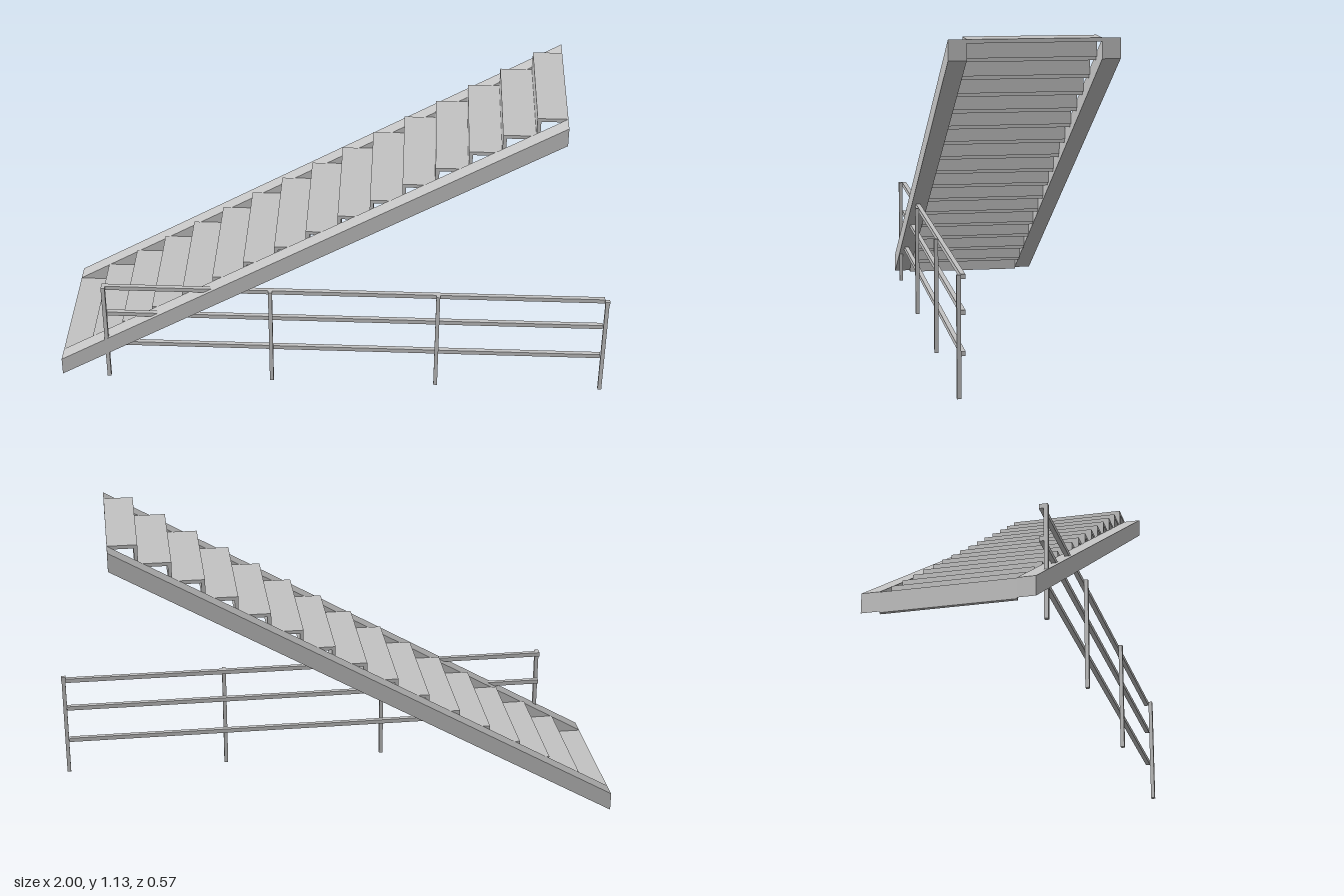
import * as THREE from 'three';

export function createModel() {
  const model = new THREE.Group();
  model.name = 'staircaseWithRailing';
  const steel = new THREE.MeshStandardMaterial({ color: 0xc2c2c2 });
  steel.name = 'light grey steel';

  // Box given by its minimum and maximum corners
  function box(name, parent, x0, x1, y0, y1, z0, z1) {
    const mesh = new THREE.Mesh(new THREE.BoxGeometry(x1 - x0, y1 - y0, z1 - z0), steel);
    mesh.position.set((x0 + x1) / 2, (y0 + y1) / 2, (z0 + z1) / 2);
    mesh.name = name;
    parent.add(mesh);
  }

  const inner = 0.222, outer = 0.283, topX = 0.805;

  // Sloping side beams with upright ends
  const profile = new THREE.Shape([
    new THREE.Vector2(-1, 0.004),
    new THREE.Vector2(topX, 1.066),
    new THREE.Vector2(topX, 1.135),
    new THREE.Vector2(-1, 0.072),
  ]);
  for (const [name, z] of [['leftStringer', inner], ['rightStringer', -outer]]) {
    const geometry = new THREE.ExtrudeGeometry(profile, { depth: outer - inner, bevelEnabled: false });
    const stringer = new THREE.Mesh(geometry, steel);
    stringer.position.z = z;
    stringer.name = name;
    model.add(stringer);
  }

  // Thin treads and risers, open underneath
  const steps = new THREE.Group();
  steps.name = 'steps';
  model.add(steps);
  const count = 16, rise = 1.135 / count, run = 0.1134, thick = 0.013;
  for (let i = 0; i < count; i++) {
    const x = -1 + i * run, top = (i + 1) * rise;
    box('tread', steps, x, Math.min(x + run, topX), top - thick, top, -inner, inner);
    box('riser', steps, x, x + thick, i * rise, top - thick, -inner, inner);
  }

  // Level railing: posts outside, rails fixed to their inner side
  const railing = new THREE.Group();
  railing.name = 'railing';
  model.add(railing);
  for (let i = 0; i < 4; i++) {
    const x = -0.826 + i * 0.6057;
    box('post', railing, x - 0.007, x + 0.007, 0, 0.405, 0.268, 0.282);
  }
  for (const y of [0.145, 0.28, 0.397]) {
    box('rail', railing, -0.833, 0.983, y - 0.008, y + 0.008, 0.252, 0.268);
  }
  // Ends of the railing span the full two units
  box('railEnd', railing, 0.983, 1, 0.389, 0.405, 0.268, 0.282);

  return model;
}
